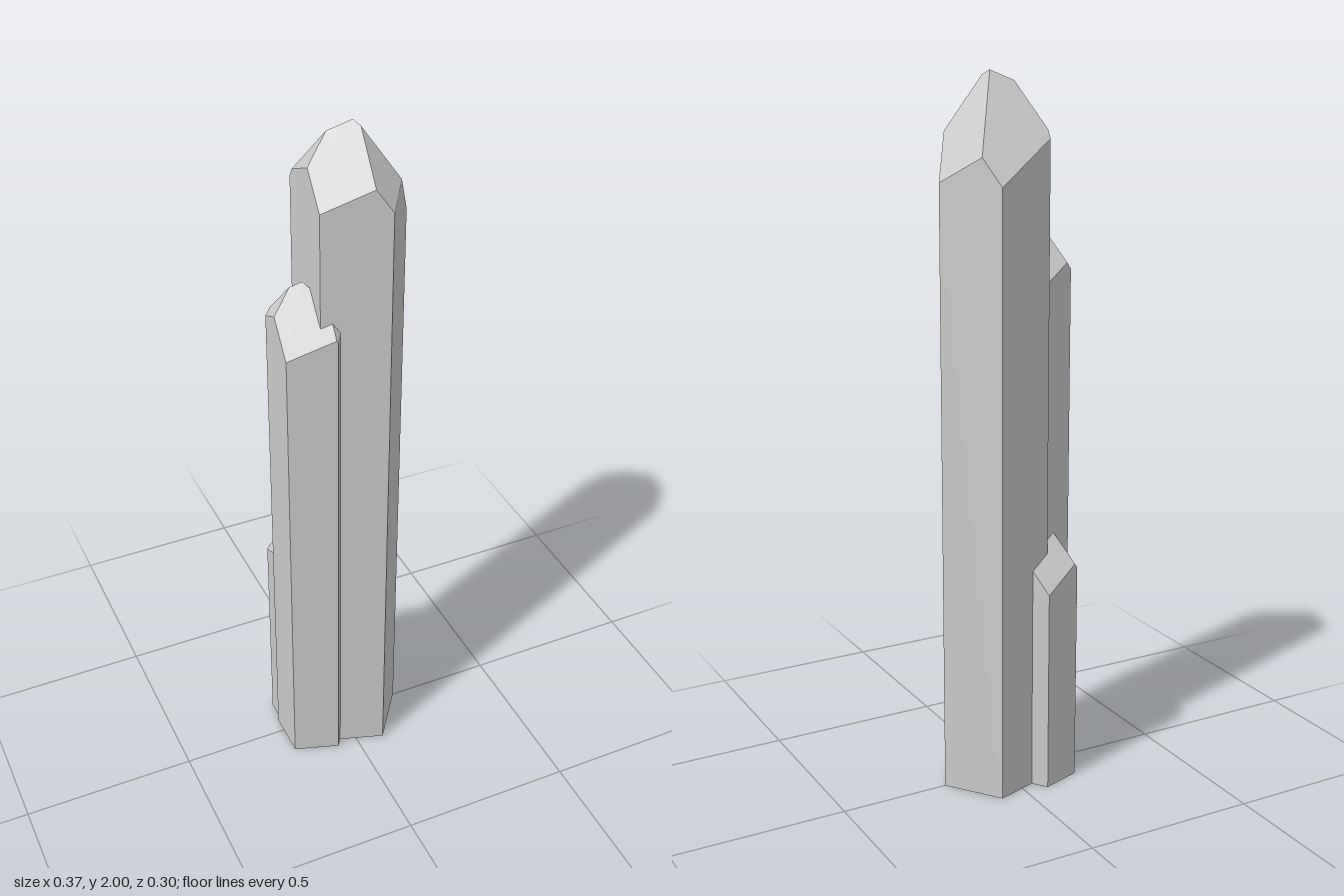
import * as THREE from 'three';
import { ConvexGeometry } from 'three/addons/geometries/ConvexGeometry.js';

// Slopes (dy/dx, dy/dz) of the five cut facets shared by every crystal tip
const SLOPES = {
  front: [0.868, -1.29],
  frontSide: [-1.044, -1.34],
  side: [-1.684, 0.528],
  back: [-0.106, 1.67],
  left: [1.468, 0.48],
};

// Half-space n.p <= d through a point
function halfSpace(normal, point) {
  const n = normal.clone().normalize();
  return { n, d: n.dot(point) };
}

// Corners of the convex solid bounded by the half-spaces
function solidCorners(planes) {
  const corners = [];
  const m = new THREE.Matrix3();
  for (let i = 0; i < planes.length; i++)
    for (let j = i + 1; j < planes.length; j++)
      for (let k = j + 1; k < planes.length; k++) {
        const [a, b, c] = [planes[i], planes[j], planes[k]];
        m.set(a.n.x, a.n.y, a.n.z, b.n.x, b.n.y, b.n.z, c.n.x, c.n.y, c.n.z);
        if (Math.abs(m.determinant()) < 1e-4) continue;
        const p = new THREE.Vector3(a.d, b.d, c.d).applyMatrix3(m.invert());
        if (planes.some((q) => q.n.dot(p) > q.d + 1e-6)) continue;
        if (corners.every((q) => q.distanceTo(p) > 1e-3)) corners.push(p);
      }
  return corners;
}

// Five-sided prism with a tip cut by one facet through each given point
function crystal(name, x, z, radius, facetPoints, material) {
  const planes = [halfSpace(new THREE.Vector3(0, -1, 0), new THREE.Vector3())];
  for (let i = 0; i < 5; i++) {
    const angle = ((i + 0.5) * 2 * Math.PI) / 5;
    const n = new THREE.Vector3(Math.cos(angle), 0, Math.sin(angle));
    const reach = radius * Math.cos(Math.PI / 5);
    planes.push(halfSpace(n, new THREE.Vector3(x, 0, z).addScaledVector(n, reach)));
  }
  for (const [facet, point] of Object.entries(facetPoints)) {
    const [sx, sz] = SLOPES[facet];
    planes.push(halfSpace(new THREE.Vector3(-sx, 1, -sz), new THREE.Vector3(...point)));
  }
  const mesh = new THREE.Mesh(new ConvexGeometry(solidCorners(planes)), material);
  mesh.name = name;
  return mesh;
}

// Three facets meet at the apex; the other two trim the shoulders
function tip(apex, frontSide, left) {
  return { front: apex, side: apex, back: apex, frontSide, left };
}

export function createModel() {
  const group = new THREE.Group();
  group.name = 'crystalCluster';
  const stone = new THREE.MeshStandardMaterial({ color: 0xcccccc, flatShading: true });

  group.add(
    crystal('tallCrystal', 0.031, 0, 0.155,
      tip([0.025, 2, 0.02], [0.038, 1.986, 0.04], [-0.036, 1.973, 0]), stone),
    crystal('middleCrystal', -0.097, 0.0215, 0.113,
      tip([-0.107, 1.58, 0.008], [-0.065, 1.498, 0.1], [-0.138, 1.566, -0.003]), stone),
    crystal('shortCrystal', -0.098, -0.055, 0.1,
      tip([-0.085, 0.77, -0.04], [-0.065, 0.72, 0.01], [-0.13, 0.733, -0.065]), stone),
  );
  return group;
}
